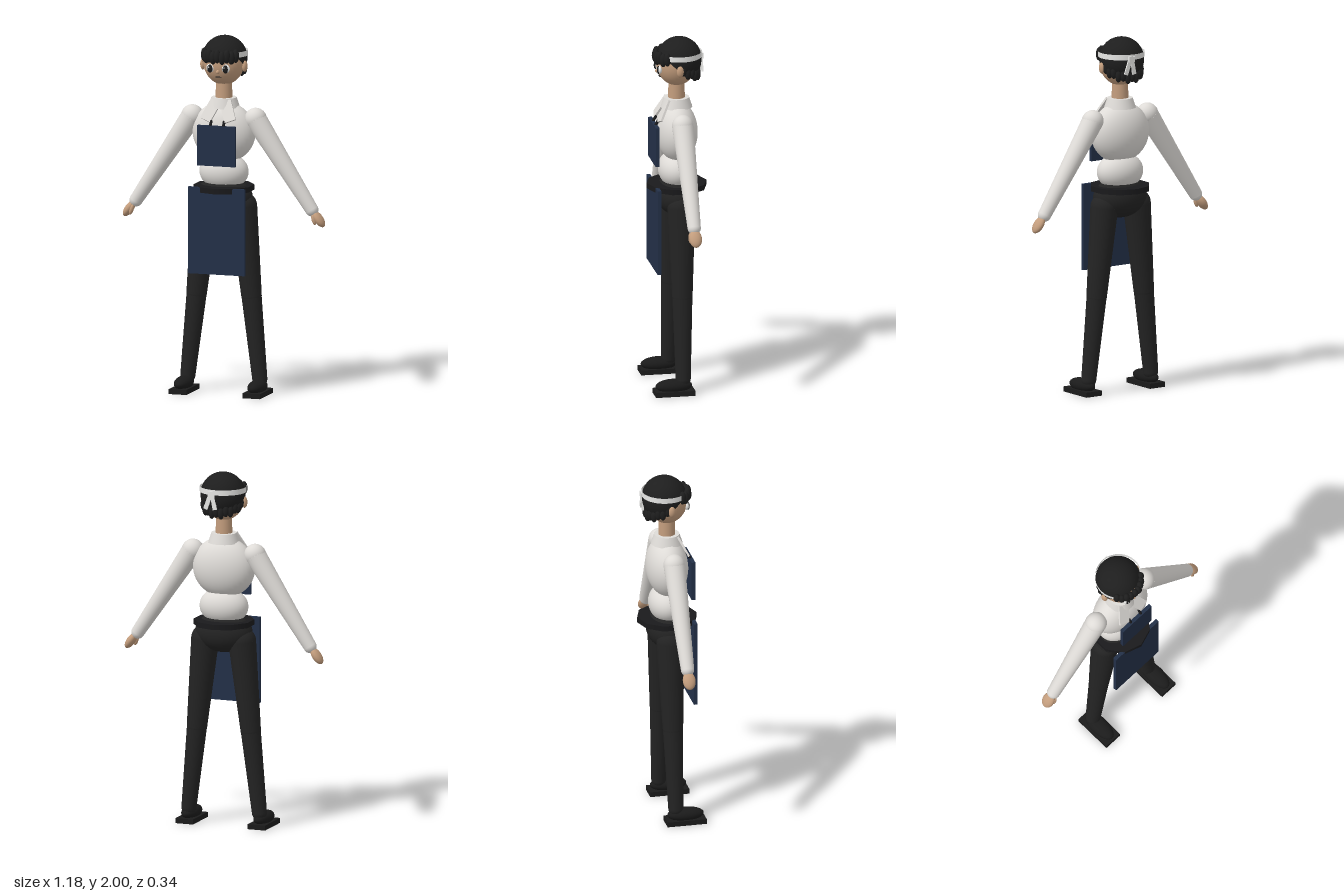
import * as THREE from 'three';

const mat = (name, color) => {
  const m = new THREE.MeshStandardMaterial({ color });
  m.name = name;
  return m;
};

export function createModel() {
  const model = new THREE.Group();
  model.name = 'aproned figure';
  const skin = mat('skin', 0xc39d7d);
  const shirt = mat('shirt white', 0xdedbd7);
  const black = mat('trouser black', 0x232323);
  const shoeBlack = mat('shoe black', 0x1b1b1b);
  const hairBlack = mat('hair black', 0x1e1e1e);
  const navy = mat('apron navy', 0x233048);
  const white = mat('cloth white', 0xe8e8e6);
  const strapMat = mat('strap black', 0x1a1a1c);

  const add = (name, geo, material, x = 0, y = 0, z = 0, parent = model) => {
    const mesh = new THREE.Mesh(geo, material);
    mesh.name = name;
    mesh.position.set(x, y, z);
    parent.add(mesh);
    return mesh;
  };
  const ellipsoid = (name, material, [x, y, z], [rx, ry, rz], seg = 28) =>
    add(name, new THREE.SphereGeometry(1, seg, Math.round(seg * 0.7)).scale(rx, ry, rz), material, x, y, z);
  const box = (name, material, [x, y, z], [w, h, d]) =>
    add(name, new THREE.BoxGeometry(w, h, d), material, x, y, z);

  // Tapered limb between two points, with rounded ends
  const limb = (name, material, a, b, ra, rb) => {
    const group = new THREE.Group();
    group.name = name;
    model.add(group);
    const p = new THREE.Vector3(...a), q = new THREE.Vector3(...b);
    const dir = p.clone().sub(q);
    const tube = add(name + 'Tube', new THREE.CylinderGeometry(ra, rb, dir.length(), 24), material, 0, 0, 0, group);
    tube.position.copy(p).add(q).multiplyScalar(0.5);
    tube.quaternion.setFromUnitVectors(new THREE.Vector3(0, 1, 0), dir.normalize());
    add(name + 'Start', new THREE.SphereGeometry(ra, 24, 16), material, ...a, group);
    add(name + 'End', new THREE.SphereGeometry(rb, 24, 16), material, ...b, group);
  };

  // Torso and hips
  ellipsoid('chest', shirt, [0, 1.46, 0], [0.18, 0.17, 0.115], 36);
  ellipsoid('waist', shirt, [0, 1.24, 0], [0.14, 0.105, 0.102], 36);
  ellipsoid('hips', black, [0, 1.095, 0], [0.165, 0.115, 0.115], 36);
  add('waistband', new THREE.CylinderGeometry(0.168, 0.168, 0.03, 10), strapMat, 0, 1.15, 0);

  // Neck and collar
  add('neck', new THREE.CylinderGeometry(0.044, 0.048, 0.16, 24), skin, 0, 1.685, 0);
  add('collar', new THREE.CylinderGeometry(0.07, 0.088, 0.055, 28), shirt, 0, 1.628, 0);

  // Apron
  box('apronSkirt', navy, [0, 0.922, 0.127], [0.33, 0.485, 0.021]);
  box('apronBib', navy, [0, 1.4, 0.127], [0.22, 0.225, 0.021]);

  for (const s of [-1, 1]) {
    const side = s > 0 ? 'left' : 'right';

    // Collar flap and bib strap
    const flap = box(side + 'CollarFlap', shirt, [s * 0.05, 1.59, 0.082], [0.065, 0.125, 0.012]);
    flap.rotation.set(-0.48, 0, s * 0.38);
    limb(side + 'BibStrap', strapMat, [s * 0.038, 1.535, 0.11], [s * 0.038, 1.505, 0.127], 0.008, 0.008);

    // Arm and hand
    ellipsoid(side + 'Shoulder', shirt, [s * 0.185, 1.542, 0], [0.062, 0.062, 0.06]);
    limb(side + 'Sleeve', shirt, [s * 0.19, 1.535, 0], [s * 0.513, 1.05, 0], 0.06, 0.037);
    const hand = ellipsoid(side + 'Hand', skin, [s * 0.553, 1.0, 0], [0.024, 0.052, 0.036]);
    hand.rotation.z = s * 0.62;
    const thumb = ellipsoid(side + 'Thumb', skin, [s * 0.532, 0.998, 0.024], [0.012, 0.03, 0.013], 14);
    thumb.rotation.z = s * 0.3;

    // Leg and shoe
    limb(side + 'Thigh', black, [s * 0.11, 1.05, -0.005], [s * 0.16, 0.55, -0.002], 0.078, 0.057);
    limb(side + 'Shin', black, [s * 0.16, 0.55, -0.002], [s * 0.21, 0.085, 0.003], 0.056, 0.042);
    ellipsoid(side + 'Shoe', shoeBlack, [s * 0.215, 0.05, 0.057], [0.048, 0.038, 0.103]);
    box(side + 'Sole', shoeBlack, [s * 0.215, 0.014, 0.055], [0.104, 0.028, 0.222]);

    // Ear, eye and brow
    ellipsoid(side + 'Ear', skin, [s * 0.122, 1.835, 0.002], [0.015, 0.032, 0.02], 16);
    ellipsoid(side + 'EyeWhite', white, [s * 0.045, 1.832, 0.103], [0.024, 0.024, 0.012], 16);
    ellipsoid(side + 'Iris', hairBlack, [s * 0.045, 1.83, 0.109], [0.016, 0.023, 0.01], 16);
    ellipsoid(side + 'Glint', white, [s * 0.045 - 0.005, 1.838, 0.118], [0.004, 0.004, 0.003], 8);
  }

  // Head and face
  ellipsoid('head', skin, [0, 1.855, 0], [0.115, 0.129, 0.113], 36);
  ellipsoid('nose', skin, [0, 1.812, 0.108], [0.01, 0.012, 0.012], 14);
  box('mouth', strapMat, [0, 1.782, 0.095], [0.03, 0.004, 0.008]);

  // Hair cap, tilted so the back hangs lower than the front
  const hair = add('hairCap', new THREE.SphereGeometry(0.125, 40, 28, 0, Math.PI * 2, 0, 1.92), hairBlack, 0, 1.875, -0.015);
  hair.rotation.x = -0.72;
  hairBlack.side = THREE.DoubleSide;

  // Fringe curls
  for (let i = -4; i <= 4; i++) {
    const a = i * 0.235;
    const drop = i % 2 ? 0.008 : 0;
    ellipsoid('fringeCurl', hairBlack, [Math.sin(a) * 0.113, 1.9 - drop, Math.cos(a) * 0.118 - 0.001],
      [0.02, 0.038, 0.02], 14);
  }
  // Ragged locks along the sides and nape
  for (let i = 0; i < 13; i++) {
    const a = Math.PI + (i - 6) * 0.25;
    const back = -Math.cos(a);
    ellipsoid('hairLock', hairBlack, [Math.sin(a) * 0.108, 1.84 - 0.045 * back - (i % 2) * 0.01, Math.cos(a) * 0.105 - 0.012],
      [0.018, 0.035, 0.018], 12);
  }

  // Headband with a knot and two tails behind
  const band = add('headband', new THREE.CylinderGeometry(0.13, 0.13, 0.03, 40, 1, true), white, 0, 1.906, -0.013);
  band.scale.z = 0.98;
  white.side = THREE.DoubleSide;
  box('headbandKnot', white, [0.02, 1.895, -0.137], [0.04, 0.032, 0.016]);
  for (const [x, turn] of [[0.008, -0.2], [0.042, 0.35]]) {
    const tail = box('headbandTail', white, [x, 1.85, -0.136], [0.024, 0.085, 0.008]);
    tail.rotation.z = turn;
  }
  return model;
}
